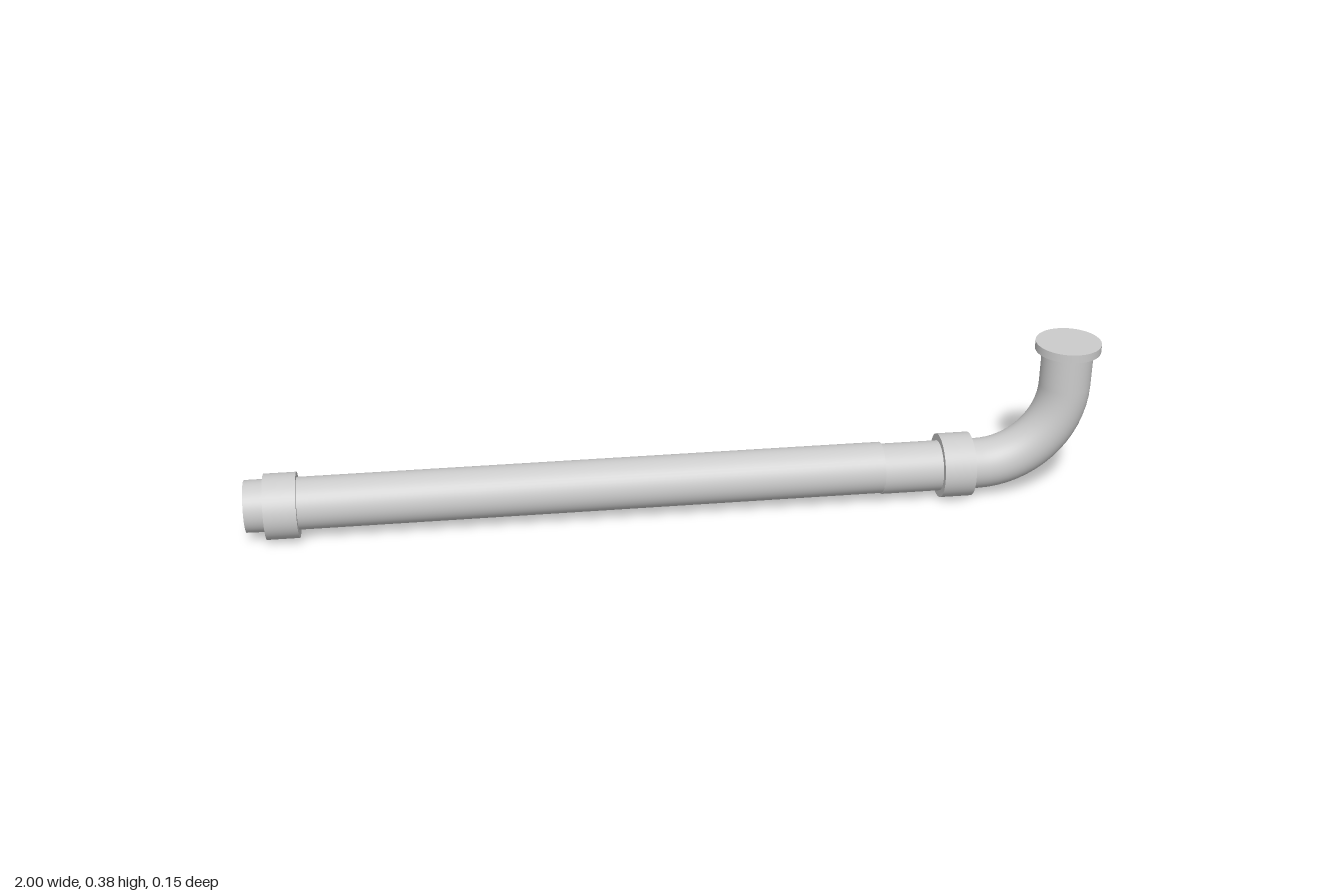
import * as THREE from 'three';

const PIPE_R = 0.06, COLLAR_R = 0.0765, AXIS_Y = 0.0765;

export function createModel() {
  const model = new THREE.Group();
  const material = new THREE.MeshStandardMaterial({ color: 0xcccccc });

  function add(name, geometry) {
    const mesh = new THREE.Mesh(geometry, material);
    mesh.name = name;
    model.add(mesh);
    return mesh;
  }

  // Solid round section lying along x
  function section(name, x0, x1, radius, y) {
    const geometry = new THREE.CylinderGeometry(radius, radius, x1 - x0, 48);
    geometry.rotateZ(-Math.PI / 2);
    add(name, geometry).position.set((x0 + x1) / 2, y, 0);
  }

  // Long run, its end plug and the two coupling collars
  section('mainPipe', -0.99, 0.49, 0.061, AXIS_Y + 0.004);
  section('endPlug', -1, -0.99, 0.0605, AXIS_Y + 0.004);
  section('endCollar', -0.955, -0.88, COLLAR_R, AXIS_Y);
  section('elbowCollar', 0.63, 0.705, COLLAR_R, AXIS_Y);

  // Elbow: straight spigot, quarter bend, vertical riser
  const riserX = 1 - COLLAR_R, bend = 0.2, topY = 0.385, flangeH = 0.02;
  const bendX = riserX - bend, bendY = AXIS_Y + bend;
  section('elbowSpigot', 0.488, bendX, PIPE_R, AXIS_Y);

  // A torus quarter turned so that it joins the spigot to the riser
  const elbow = new THREE.TorusGeometry(bend, PIPE_R, 48, 16, Math.PI / 2);
  elbow.rotateZ(-Math.PI / 2);
  add('elbowBend', elbow).position.set(bendX, bendY, 0);

  const riserH = topY - flangeH - bendY;
  add('riser', new THREE.CylinderGeometry(PIPE_R, PIPE_R, riserH, 48, 1, true))
    .position.set(riserX, bendY + riserH / 2, 0);

  // Flange closing the riser
  add('topFlange', new THREE.CylinderGeometry(COLLAR_R, COLLAR_R, flangeH, 48))
    .position.set(riserX, topY - flangeH / 2, 0);

  return model;
}
